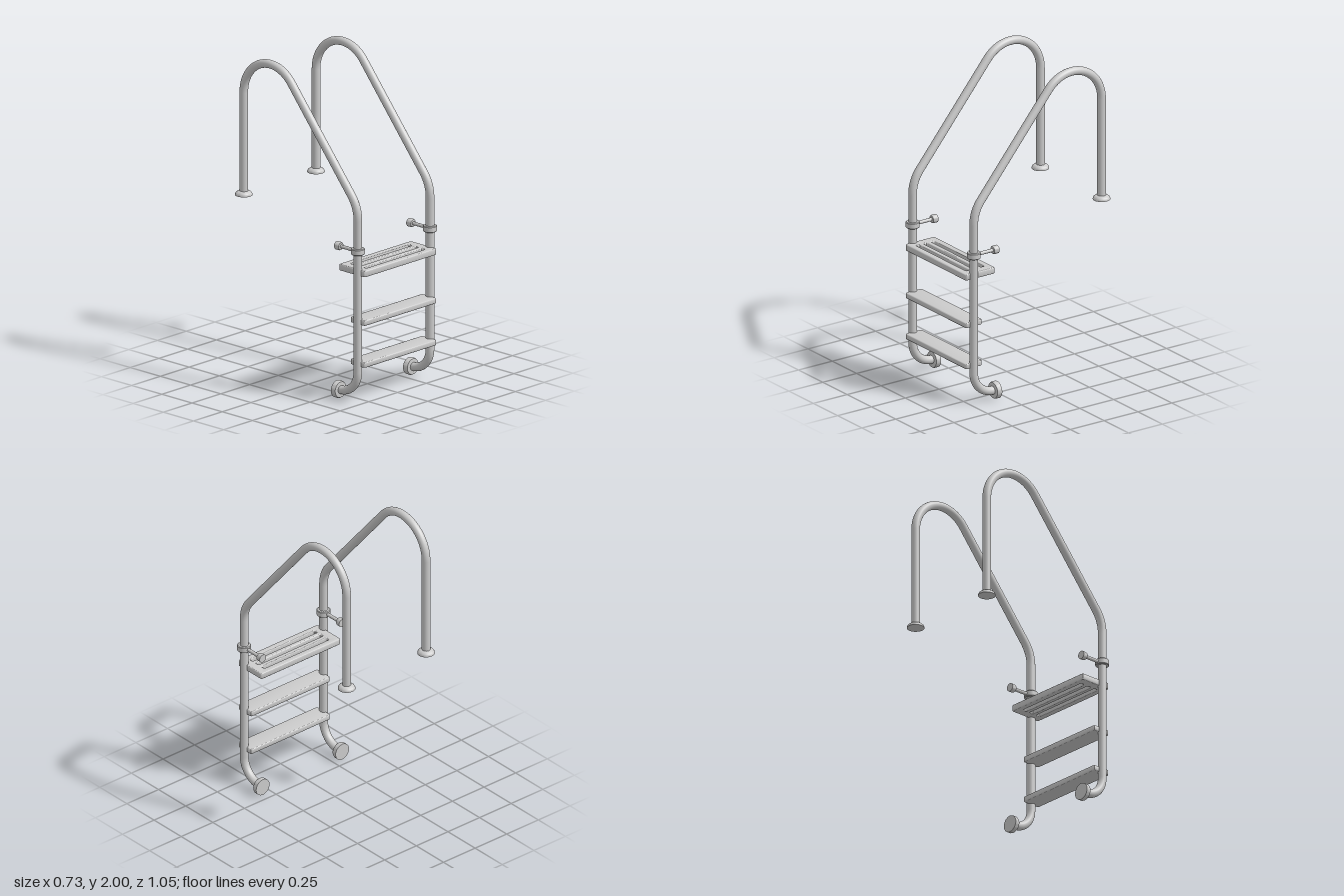
import * as THREE from 'three';
import { toCreasedNormals } from 'three/addons/utils/BufferGeometryUtils.js';

const mat = new THREE.MeshStandardMaterial({ color: 0xcccccc });
const RAIL_X = 0.314, FRONT_Z = 0.47, BACK_Z = -0.474, WALL_Z = 0.297;

function add(parent, name, geometry, x = 0, y = 0, z = 0) {
  const mesh = new THREE.Mesh(geometry, mat);
  mesh.name = name;
  mesh.position.set(x, y, z);
  parent.add(mesh);
  return mesh;
}

// Solid of revolution around y from [radius, height] pairs
function lathe(points, segments = 32) {
  const g = new THREE.LatheGeometry(points.map(p => new THREE.Vector2(...p)), segments);
  return toCreasedNormals(g, 0.6);
}

// Side-view centreline of the rail, x of the path = z of the model
class RailCurve extends THREE.Curve {
  constructor() {
    super();
    const a = THREE.MathUtils.degToRad(39.8), R = 0.222, r = 0.14, rb = 0.22;
    const topZ = BACK_Z + R, topY = 1.975 - R;
    // corner where the sloping run meets the upright
    const sz = topZ + R * Math.cos(a), sy = topY + R * Math.sin(a);
    const cornerY = sy - (FRONT_Z - sz) / Math.tan(a);
    const bendY = cornerY - rb * Math.tan(a / 2);
    this.path = new THREE.Path();
    this.path.moveTo(WALL_Z + 0.01, 0.055);
    this.path.absarc(FRONT_Z - r, 0.055 + r, r, -Math.PI / 2, 0, false);
    this.path.absarc(FRONT_Z - rb, bendY, rb, 0, a, false);
    this.path.absarc(topZ, topY, R, a, Math.PI, false);
    this.path.lineTo(BACK_Z, 1.11);
  }
  getPoint(t, target = new THREE.Vector3()) {
    const p = this.path.getPoint(t);
    return target.set(0, p.y, p.x);
  }
}

// Rounded rectangle or slot outline
function roundedRect(path, x0, x1, y0, y1, r) {
  path.absarc(x1 - r, y0 + r, r, -Math.PI / 2, 0, false);
  path.absarc(x1 - r, y1 - r, r, 0, Math.PI / 2, false);
  path.absarc(x0 + r, y1 - r, r, Math.PI / 2, Math.PI, false);
  path.absarc(x0 + r, y0 + r, r, Math.PI, Math.PI * 1.5, false);
  path.closePath();
  return path;
}

// Flat tread with softened edges, slots given as [z0, z1]
function treadGeometry(z0, z1, thickness, slots = []) {
  const b = 0.006;
  const shape = roundedRect(new THREE.Shape(), -RAIL_X + b, RAIL_X - b, z0 + b, z1 - b, 0.008);
  for (const [s0, s1] of slots) {
    shape.holes.push(roundedRect(new THREE.Path(), -0.256 - b, 0.256 + b, s0 - b, s1 + b, 0.013));
  }
  const g = new THREE.ExtrudeGeometry(shape, {
    depth: thickness - 2 * b, bevelSize: b, bevelThickness: b, bevelSegments: 3, curveSegments: 6,
  });
  g.translate(0, 0, -(thickness - 2 * b) / 2);
  g.rotateX(Math.PI / 2);
  return toCreasedNormals(g, 0.7);
}

export function createModel() {
  const model = new THREE.Group();
  model.name = 'poolLadder';

  const railGeo = new THREE.TubeGeometry(new RailCurve(), 180, 0.026, 20);
  const flangeGeo = lathe([[0, 0], [0.053, 0], [0.053, 0.006], [0.048, 0.016], [0.038, 0.024], [0.026, 0.027], [0, 0.027]]);
  const padGeo = lathe([[0, 0], [0.053, 0], [0.053, 0.024], [0.049, 0.032], [0.026, 0.034], [0, 0.034]]);
  const collarGeo = lathe([[0.02, -0.019], [0.038, -0.019], [0.042, -0.015], [0.042, 0.015], [0.038, 0.019], [0.02, 0.019]]);
  const rodGeo = new THREE.CylinderGeometry(0.011, 0.011, FRONT_Z - WALL_Z - 0.02, 16);
  const footGeo = lathe([[0, 0], [0.026, 0], [0.026, 0.026], [0.022, 0.034], [0.011, 0.036], [0, 0.036]], 24);
  for (const g of [padGeo, rodGeo, footGeo]) g.rotateX(Math.PI / 2);

  for (const [side, s] of [['left', 1], ['right', -1]]) {
    const g = new THREE.Group();
    g.name = side + 'Side';
    g.position.x = s * RAIL_X;
    model.add(g);
    add(g, side + 'Rail', railGeo);
    add(g, side + 'DeckFlange', flangeGeo, 0, 1.104, BACK_Z);
    add(g, side + 'WallPad', padGeo, 0, 0.054, WALL_Z);
    // clamp with a short spacer against the wall
    add(g, side + 'Collar', collarGeo, 0, 0.957, FRONT_Z);
    add(g, side + 'SpacerRod', rodGeo, 0, 0.957, (FRONT_Z + WALL_Z) / 2);
    add(g, side + 'SpacerFoot', footGeo, 0, 0.957, WALL_Z);
  }

  // Wide slotted top step and two narrow plain steps
  add(model, 'topStep', treadGeometry(0.311, 0.527, 0.04,
    [[0.351, 0.376], [0.406, 0.431], [0.46, 0.485]]), 0, 0.822, 0);
  const stepGeo = treadGeometry(0.405, 0.527, 0.034);
  add(model, 'middleStep', stepGeo, 0, 0.513, 0);
  add(model, 'bottomStep', stepGeo, 0, 0.249, 0);

  return model;
}
